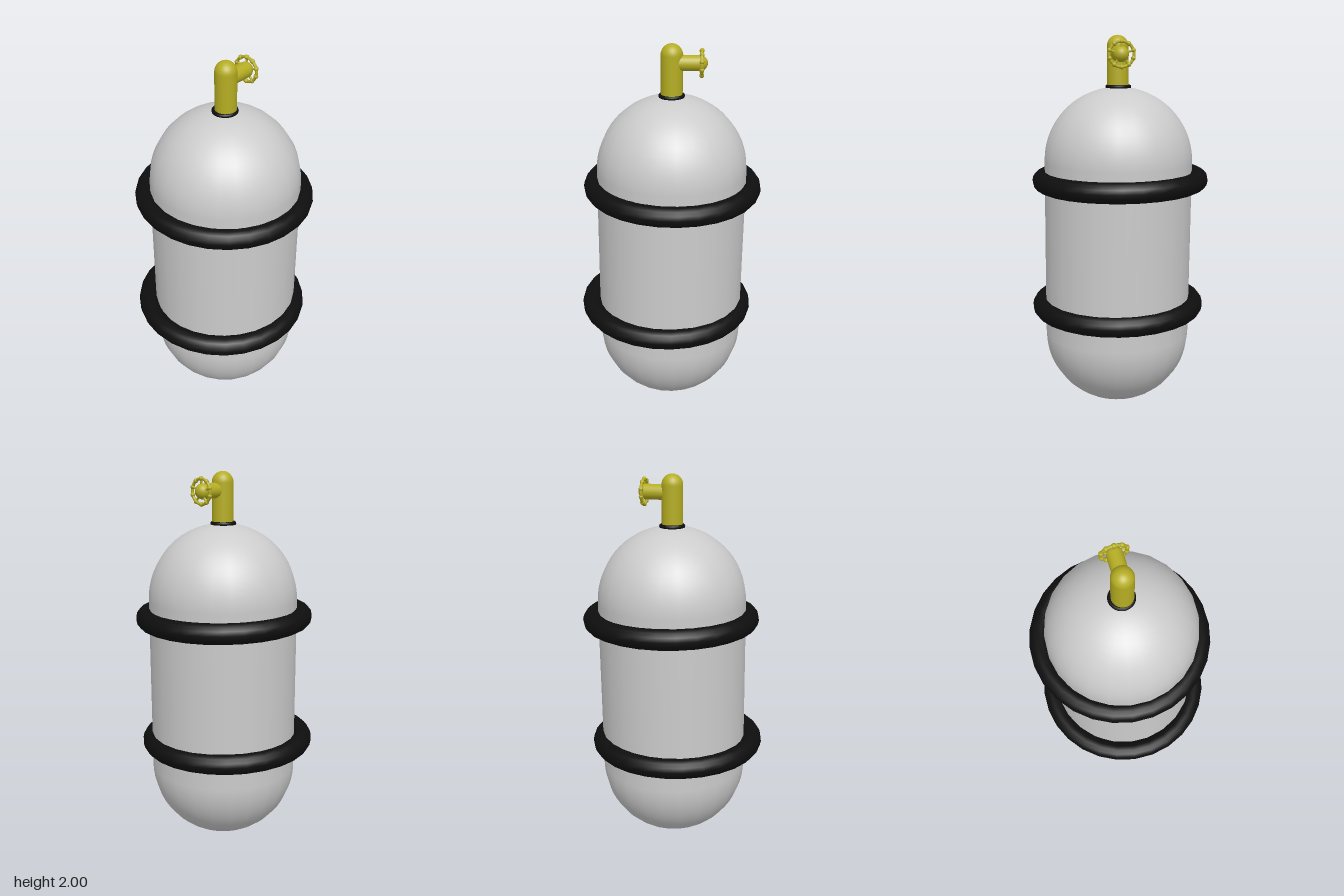
import * as THREE from 'three';

const grey = new THREE.MeshStandardMaterial({ color: 0xcccccc });
const black = new THREE.MeshStandardMaterial({ color: 0x0e0e0e });
const brass = new THREE.MeshStandardMaterial({ color: 0xb5ad22 });

function add(parent, name, geometry, material, x = 0, y = 0, z = 0) {
  const mesh = new THREE.Mesh(geometry, material);
  mesh.name = name;
  mesh.position.set(x, y, z);
  parent.add(mesh);
  return mesh;
}

// Torus lying flat around the y axis
const flatRing = (radius, tube, sides, segments) =>
  new THREE.TorusGeometry(radius, tube, sides, segments).rotateX(Math.PI / 2);

export function createModel() {
  const model = new THREE.Group();
  model.name = 'gasTank';

  // Tank: straight shell closed by two domes, leaning very slightly
  const tank = new THREE.Group();
  tank.name = 'tank';
  tank.position.set(-0.004, 0, 0.017);
  tank.rotation.set(-0.006, 0, -0.01);
  model.add(tank);
  const R = 0.395, low = 0.395, high = 1.335;
  add(tank, 'shell', new THREE.CylinderGeometry(R, R, high - low, 24, 1, true), grey, 0, (low + high) / 2);
  add(tank, 'topDome', new THREE.SphereGeometry(R, 24, 16, 0, Math.PI * 2, 0, Math.PI / 2), grey, 0, high);
  add(tank, 'bottomDome', new THREE.SphereGeometry(R, 24, 16, 0, Math.PI * 2, Math.PI / 2, Math.PI / 2), grey, 0, low);

  // Two rubber bands, each a little off centre
  const band = flatRing(0.417, 0.053, 14, 28);
  add(model, 'upperBand', band, black, 0.013, 1.241, 0).rotation.set(0.011, 0, -0.01);
  add(model, 'lowerBand', band, black, -0.021, 0.541, 0.005).rotation.set(0.011, 0, -0.012);

  // Valve: stem with a round cap, standing in a gasket
  const valve = new THREE.Group();
  valve.name = 'valve';
  valve.position.set(0.008, 0, 0.012);
  model.add(valve);
  add(valve, 'gasket', flatRing(0.057, 0.011, 10, 28), black, 0, 1.73, -0.004);
  add(valve, 'stem', new THREE.CylinderGeometry(0.056, 0.056, 0.25, 24), brass, 0, 1.815);
  add(valve, 'stemCap', new THREE.SphereGeometry(0.056, 24, 16), brass, 0, 1.94);

  // Side spout, built along +x and turned slightly to the front
  const spout = new THREE.Group();
  spout.name = 'spout';
  spout.position.set(0, 1.9, 0.004);
  spout.rotation.y = -0.09;
  valve.add(spout);
  add(spout, 'pipe', new THREE.CylinderGeometry(0.04, 0.04, 0.14, 20).rotateZ(Math.PI / 2), brass, 0.07);
  add(spout, 'pipeCap', new THREE.SphereGeometry(0.04, 20, 14), brass, 0.14);

  // Handwheel: thin rim, beads and spokes
  const wheel = new THREE.Group();
  wheel.name = 'handwheel';
  wheel.position.x = 0.15;
  spout.add(wheel);
  const rim = 0.064, beads = 10;
  add(wheel, 'rim', new THREE.TorusGeometry(rim, 0.008, 8, 30).rotateY(Math.PI / 2), brass);
  for (let i = 0; i < beads; i++) {
    const a = (i / beads) * Math.PI * 2;
    add(wheel, 'bead', new THREE.SphereGeometry(0.012, 10, 8), brass, 0, Math.cos(a) * rim, Math.sin(a) * rim);
    if (i % 2 === 0) {
      const spoke = new THREE.CylinderGeometry(0.006, 0.006, rim, 8).translate(0, rim / 2, 0);
      add(wheel, 'spoke', spoke, brass).rotation.x = a;
    }
  }
  return model;
}
